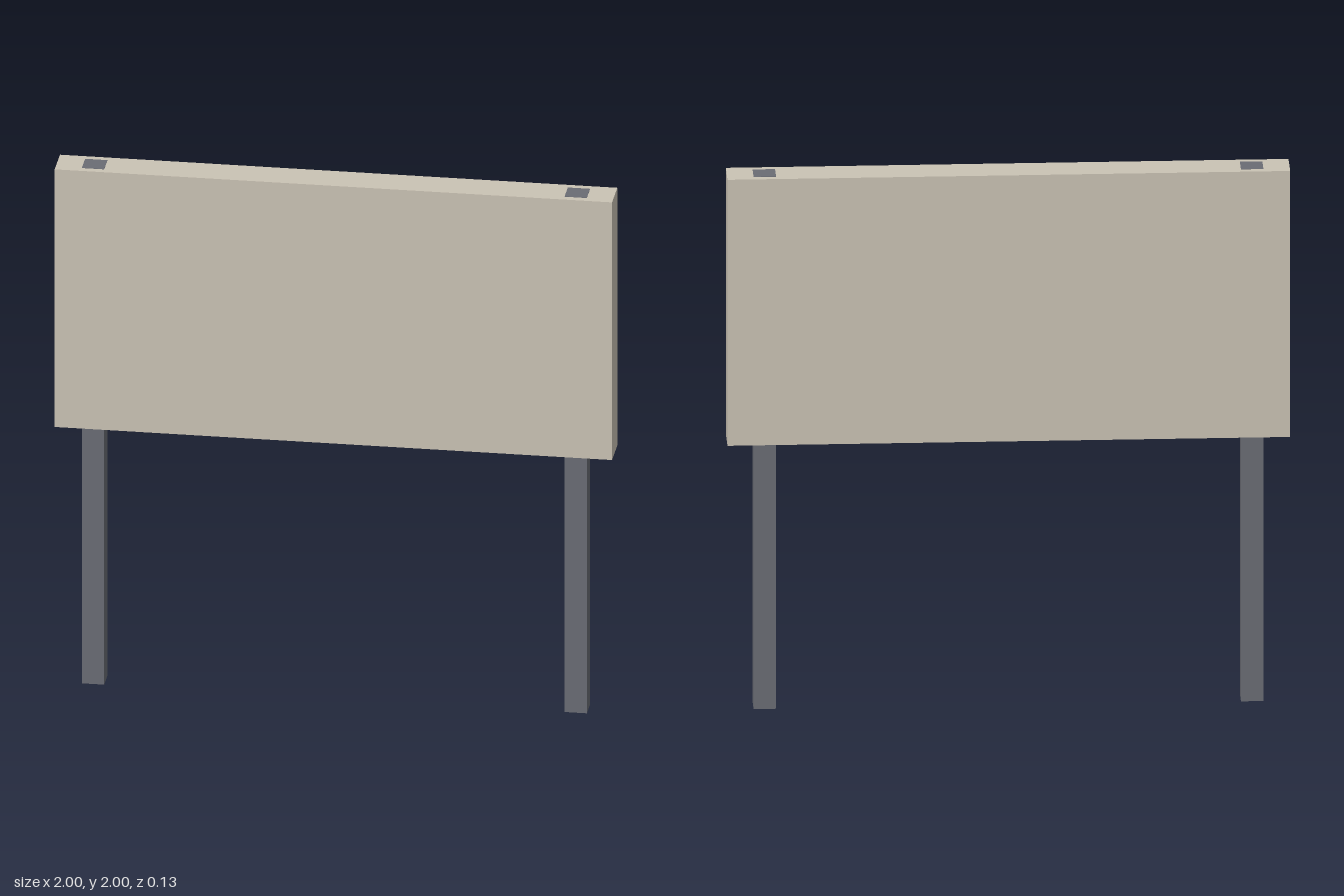
import * as THREE from 'three';

export function createModel() {
  const model = new THREE.Group();
  model.name = 'signBoard';

  const boardPaint = new THREE.MeshStandardMaterial({ name: 'warm beige', color: 0xcac3b4 });
  const postPaint = new THREE.MeshStandardMaterial({ name: 'slate grey', color: 0x6a6c74 });

  function addBox(name, material, size, position) {
    const mesh = new THREE.Mesh(new THREE.BoxGeometry(...size), material);
    mesh.name = name;
    mesh.position.set(...position);
    model.add(mesh);
  }

  // Thick blank panel
  addBox('panel', boardPaint, [2, 1, 0.13], [0, 1.5, 0]);

  // Square posts running up through the panel, their ends just showing on top
  const postHeight = 2.001;
  for (const [name, side] of [['leftPost', 1], ['rightPost', -1]]) {
    addBox(name, postPaint, [0.08, postHeight, 0.08], [side * 0.866, postHeight / 2, 0]);
  }

  return model;
}
